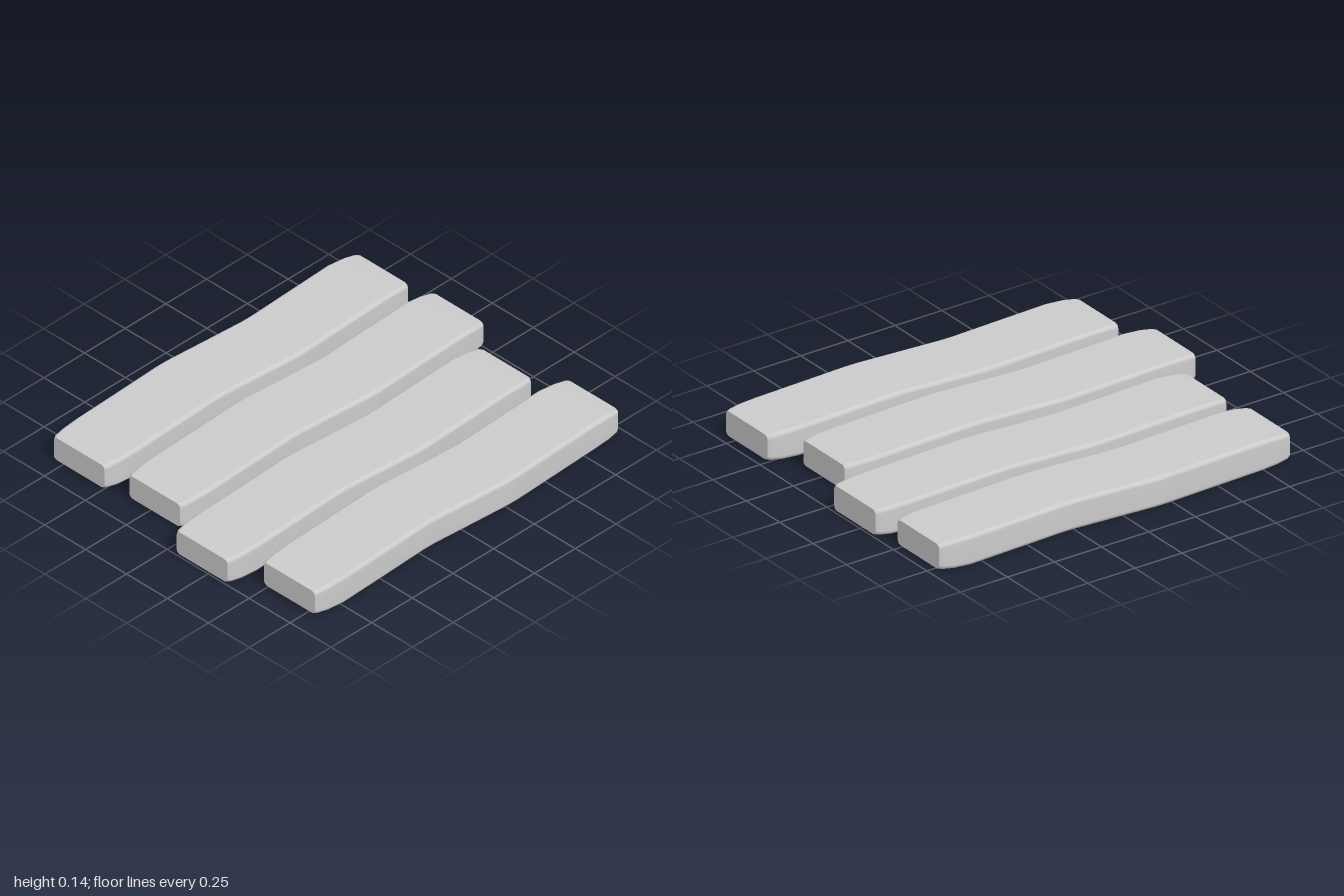
import * as THREE from 'three';

const HALF_HEIGHT = 0.0725;
// Stations along a plank: z, sideways shift, half width, half height
const STATIONS = [
  [-0.93, 0.004, 0.155, 0.06],
  [-0.915, 0.003, 0.164, 0.063],
  [-0.86, 0, 0.172, 0.069],
  [-0.775, -0.003, 0.177, 0.0725],
  [-0.5, 0.008, 0.177, 0.0725],
  [-0.285, 0.0165, 0.177, 0.0725],
  [-0.22, 0.0155, 0.177, 0.0725],
  [0, -0.001, 0.177, 0.0725],
  [0.2, -0.0165, 0.177, 0.0725],
  [0.265, -0.0175, 0.177, 0.0725],
  [0.5, -0.008, 0.177, 0.0725],
  [0.775, 0.002, 0.177, 0.0725],
  [0.86, 0.001, 0.172, 0.069],
  [0.915, -0.001, 0.164, 0.063],
  [0.93, -0.001, 0.155, 0.06],
];

// Rounded rectangle, counter-clockwise as seen from +z
function ring([z, shift, hw, hh], radius = 0.02, steps = 3) {
  const points = [];
  [[1, 1], [-1, 1], [-1, -1], [1, -1]].forEach(([sx, sy], corner) => {
    for (let k = 0; k <= steps; k++) {
      const a = (corner + k / steps) * Math.PI / 2;
      points.push([
        shift + sx * (hw - radius) + Math.cos(a) * radius,
        sy * (hh - radius) + Math.sin(a) * radius,
        z,
      ]);
    }
  });
  return points;
}

// Loft the stations into a closed plank with flat end caps
function plankGeometry() {
  const rings = STATIONS.map((s) => ring(s));
  const n = rings[0].length;
  const positions = rings.flat(2);
  const index = [];
  for (let i = 0; i < rings.length - 1; i++) {
    for (let j = 0; j < n; j++) {
      const a = i * n + j, b = i * n + (j + 1) % n;
      index.push(a, b, b + n, a, b + n, a + n);
    }
  }
  // End caps have their own vertices so their edges stay sharp
  [rings[0], rings[rings.length - 1]].forEach((cap, end) => {
    const base = positions.length / 3;
    positions.push(...cap.flat());
    for (let j = 1; j < n - 1; j++) {
      if (end) index.push(base, base + j, base + j + 1);
      else index.push(base, base + j + 1, base + j);
    }
  });
  const geometry = new THREE.BufferGeometry();
  geometry.setAttribute('position', new THREE.Float32BufferAttribute(positions, 3));
  geometry.setIndex(index);
  geometry.computeVertexNormals();
  return geometry;
}

export function createModel() {
  const model = new THREE.Group();
  model.name = 'plankPath';
  const material = new THREE.MeshStandardMaterial({ color: 0xcccccc });
  const geometry = plankGeometry();

  // Four equal planks, staggered lengthwise
  [-0.036, -0.07, 0.07, -0.036].forEach((z, i) => {
    const plank = new THREE.Mesh(geometry, material);
    plank.name = `plank${i + 1}`;
    plank.position.set((i - 1.5) * 0.428, HALF_HEIGHT, z);
    model.add(plank);
  });
  return model;
}
